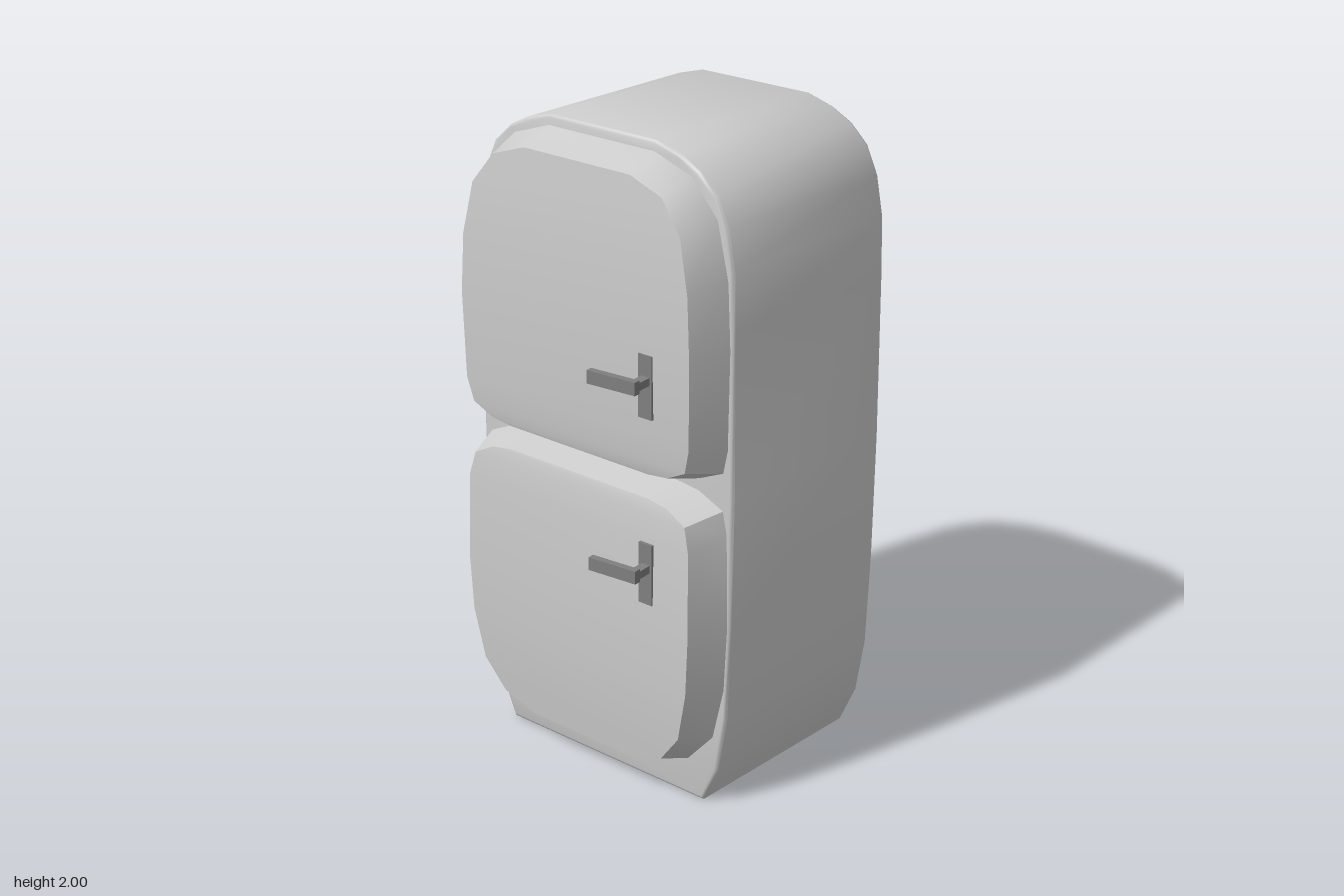
import * as THREE from 'three';
import { toCreasedNormals } from 'three/addons/utils/BufferGeometryUtils.js';

const grey = new THREE.MeshStandardMaterial({ color: 0xcccccc });
const darkGrey = new THREE.MeshStandardMaterial({ color: 0x808080 });

function addMesh(parent, name, geometry, material, x = 0, y = 0, z = 0) {
  const mesh = new THREE.Mesh(geometry, material);
  mesh.name = name;
  mesh.position.set(x, y, z);
  parent.add(mesh);
  return mesh;
}

// Rounded cabinet: a symmetric outline extruded front to back with a soft edge
function cabinetGeometry() {
  const half = [[0.39, 0], [0.445, 0.12], [0.475, 0.3], [0.487, 0.6], [0.492, 1], [0.488, 1.5],
    [0.483, 1.68], [0.46, 1.8], [0.42, 1.885], [0.36, 1.94], [0.29, 1.975], [0.2, 2]];
  const outline = [...half, ...half.map(([x, y]) => [-x, y]).reverse()];
  const shape = new THREE.Shape(outline.map(([x, y]) => new THREE.Vector2(x, y)));
  const geometry = new THREE.ExtrudeGeometry(shape, {
    depth: 0.66, bevelThickness: 0.01, bevelSize: 0.01, bevelOffset: -0.01, bevelSegments: 2,
  });
  geometry.translate(0.005, 0, -0.44);
  return toCreasedNormals(geometry, 0.9);
}

// Half outlines of the upper door, from top to bottom: back rim and front rim
const backRim = [[0.2, 1.97], [0.335, 1.925], [0.43, 1.82], [0.47, 1.65], [0.48, 1.45],
  [0.475, 1.15], [0.46, 1.08], [0.37, 1.04], [0.28, 1.03]];
const frontRim = [[0.2, 1.925], [0.32, 1.885], [0.395, 1.79], [0.43, 1.63], [0.44, 1.45],
  [0.435, 1.18], [0.415, 1.105], [0.345, 1.07], [0.27, 1.06]];
const frontDepth = [0.333, 0.337, 0.347, 0.356, 0.359, 0.353, 0.346, 0.341, 0.338];

// Door with sloping sides and a front that bulges gently in height
function doorGeometry(flipped) {
  const n = frontRim.length;
  const mapY = (y) => (flipped ? 2.045 - y : y);
  const positions = [];
  const index = [];
  const addLoop = (rim, depth) => {
    rim.forEach(([x, y], i) => positions.push(0.004 + x, mapY(y), depth(i)));
    for (let i = n - 1; i >= 0; i--) positions.push(0.004 - rim[i][0], mapY(rim[i][1]), depth(i));
  };
  const quad = (a, b, c, d) => {
    if (flipped) index.push(a, c, b, a, d, c);
    else index.push(a, b, c, a, c, d);
  };
  addLoop(backRim, () => 0.225);
  addLoop(frontRim, (i) => frontDepth[i]);
  const loop = 2 * n;
  // Sloping sides
  for (let i = 0; i < loop; i++) {
    const j = (i + 1) % loop;
    quad(i, loop + i, loop + j, j);
  }
  // Front panel in strips from side to side
  for (let i = 0; i < n - 1; i++) {
    quad(loop + i, loop + loop - 1 - i, loop + loop - 2 - i, loop + i + 1);
  }
  const geometry = new THREE.BufferGeometry();
  geometry.setAttribute('position', new THREE.Float32BufferAttribute(positions, 3));
  geometry.setIndex(index);
  return toCreasedNormals(geometry, 0.6);
}

// Back plate, stem and slightly angled lever
function makeHandle(y) {
  const handle = new THREE.Group();
  handle.name = 'handle';
  handle.position.y = y;
  addMesh(handle, 'handlePlate', new THREE.BoxGeometry(0.05, 0.19, 0.015), darkGrey, 0.285, -0.02, 0.355);
  const stem = addMesh(handle, 'handleStem', new THREE.BoxGeometry(0.03, 0.024, 0.08), darkGrey, 0.291, 0, 0.39);
  stem.rotation.y = 0.1;
  const lever = addMesh(handle, 'handleLever', new THREE.BoxGeometry(0.166, 0.04, 0.022), darkGrey, 0.227, 0, 0.43);
  lever.rotation.y = 0.1;
  return handle;
}

export function createModel() {
  const model = new THREE.Group();
  model.name = 'refrigerator';
  addMesh(model, 'cabinet', cabinetGeometry(), grey);
  addMesh(model, 'upperDoor', doorGeometry(false), grey);
  addMesh(model, 'lowerDoor', doorGeometry(true), grey);
  for (const y of [1.355, 0.78]) model.add(makeHandle(y));
  // Hinge barrels on the right edge
  for (const y of [1.42, 0.588]) {
    addMesh(model, 'hinge', new THREE.CylinderGeometry(0.025, 0.025, 0.196, 16), darkGrey, -0.483, y, 0.235);
  }
  return model;
}
